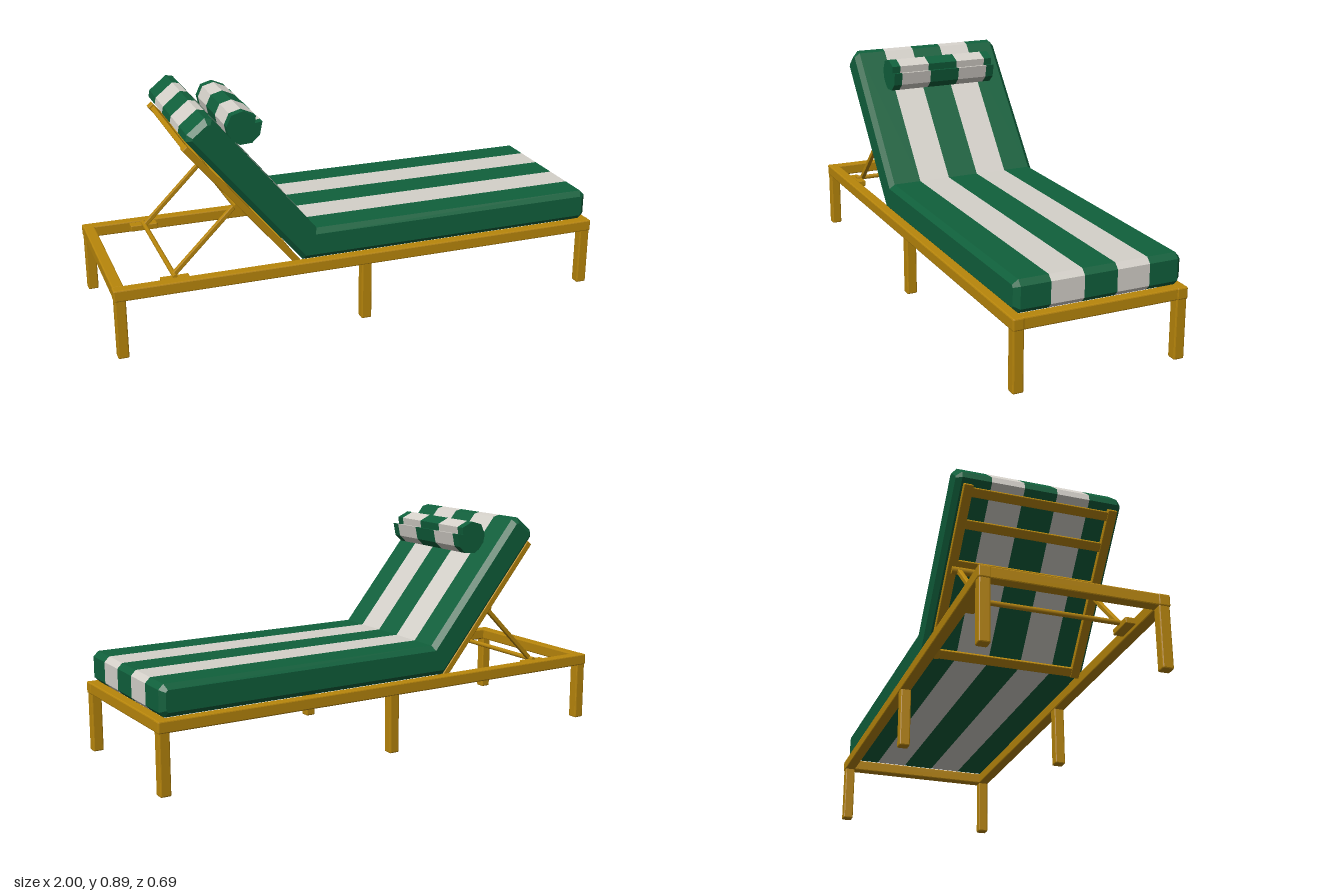
import * as THREE from 'three';
import { RoundedBoxGeometry } from 'three/addons/geometries/RoundedBoxGeometry.js';

const makeMaterial = (name, color) => {
  const m = new THREE.MeshStandardMaterial({ color });
  m.name = name;
  return m;
};

// Bar with softly chamfered edges and flat faces
function bar(name, w, h, d, x, y, z, material, bevel = 0.005) {
  const geometry = new RoundedBoxGeometry(w, h, d, 1, bevel);
  geometry.computeVertexNormals();
  const mesh = new THREE.Mesh(geometry, material);
  mesh.name = name;
  mesh.position.set(x, y, z);
  return mesh;
}

// Shrink a counter-clockwise outline by moving each edge inward
function inset(points, amount) {
  const n = points.length;
  return points.map((p, i) => {
    const a = points[(i + n - 1) % n], b = points[(i + 1) % n];
    const d1 = new THREE.Vector2(p[0] - a[0], p[1] - a[1]).normalize();
    const d2 = new THREE.Vector2(b[0] - p[0], b[1] - p[1]).normalize();
    const n1 = new THREE.Vector2(-d1.y, d1.x), n2 = new THREE.Vector2(-d2.y, d2.x);
    const k = amount / (1 + n1.dot(n2));
    return [p[0] + (n1.x + n2.x) * k, p[1] + (n1.y + n2.y) * k];
  });
}

// Loft an outline through sections {z, shrink}, capping either end if asked
function loft(points, sections, capBack, capFront) {
  const pos = [];
  const rings = sections.map(s => {
    const ring = s.shrink ? inset(points, s.shrink) : points;
    return ring.map(p => [p[0], p[1], s.z]);
  });
  for (let r = 0; r < rings.length - 1; r++) {
    const A = rings[r], B = rings[r + 1];
    for (let i = 0; i < points.length; i++) {
      const j = (i + 1) % points.length;
      pos.push(...A[i], ...A[j], ...B[j], ...A[i], ...B[j], ...B[i]);
    }
  }
  const cap = (ring, flip) => {
    const outline = ring.map(p => new THREE.Vector2(p[0], p[1]));
    for (const [a, b, c] of THREE.ShapeUtils.triangulateShape(outline, [])) {
      pos.push(...ring[a], ...ring[flip ? c : b], ...ring[flip ? b : c]);
    }
  };
  if (capBack) cap(rings[0], true);
  if (capFront) cap(rings[rings.length - 1], false);
  const geometry = new THREE.BufferGeometry();
  geometry.setAttribute('position', new THREE.Float32BufferAttribute(pos, 3));
  geometry.computeVertexNormals();
  return geometry;
}

// Five alternating stripes across the width
function striped(name, points, half, bevel, green, cream) {
  const group = new THREE.Group();
  group.name = name;
  const edges = [-half, -0.195, -0.065, 0.065, 0.195, half];
  for (let i = 0; i < 5; i++) {
    const sections = [{ z: edges[i] }, { z: edges[i + 1] }];
    if (bevel && i === 0) sections.splice(0, 1, { z: -half, shrink: bevel }, { z: -half + bevel });
    if (bevel && i === 4) sections.splice(1, 1, { z: half - bevel }, { z: half, shrink: bevel });
    const mesh = new THREE.Mesh(loft(points, sections, i === 0, i === 4), i % 2 ? cream : green);
    mesh.name = name + 'Stripe' + (i + 1);
    group.add(mesh);
  }
  return group;
}

export function createModel() {
  const wood = makeMaterial('golden wood', 0xb8860b);
  const green = makeMaterial('green fabric', 0x10603c);
  const cream = makeMaterial('pale fabric', 0xd5d1ca);
  const model = new THREE.Group();
  model.name = 'sunLounger';

  // Base frame, legs and the rests for the prop
  const frame = new THREE.Group();
  frame.name = 'frame';
  for (const s of [-1, 1]) {
    frame.add(bar('sideRail', 2, 0.046, 0.044, 0, 0.257, s * 0.325, wood));
    frame.add(bar('endRail', 0.044, 0.046, 0.62, s * 0.976, 0.257, 0, wood));
    frame.add(bar('propRest', 0.11, 0.025, 0.042, -0.755, 0.262, s * 0.286, wood, 0.003));
    for (const x of [-0.976, -0.002, 0.976]) {
      frame.add(bar('leg', 0.042, 0.24, 0.042, x, 0.12, s * 0.324, wood));
    }
  }
  model.add(frame);

  // Tilted backrest frame: local x runs up the slope, local y out to the sitter
  const back = new THREE.Group();
  back.name = 'backrestFrame';
  const start = new THREE.Vector2(-0.262, 0.275), end = new THREE.Vector2(-0.692, 0.79);
  const length = start.distanceTo(end);
  for (const s of [-1, 1]) {
    back.add(bar('backRail', length, 0.025, 0.036, length / 2, 0.0125, s * 0.287, wood, 0.003));
  }
  for (const t of [0.03, 0.55, 0.78, 0.96]) {
    back.add(bar('backSlat', 0.035, 0.02, 0.56, t * length, 0.0125, 0, wood, 0.003));
  }
  back.rotation.z = Math.atan2(end.y - start.y, end.x - start.x);
  back.position.set(start.x, start.y, 0);
  model.add(back);

  // Prop: two struts joined by rods at top and bottom
  const prop = new THREE.Group();
  prop.name = 'backrestProp';
  const foot = new THREE.Vector2(-0.755, 0.275), head = new THREE.Vector2(-0.505, 0.525);
  const slope = Math.atan2(head.y - foot.y, head.x - foot.x);
  for (const s of [-1, 1]) {
    const strut = bar('propStrut', foot.distanceTo(head), 0.018, 0.018,
      (foot.x + head.x) / 2, (foot.y + head.y) / 2, s * 0.26, wood, 0.003);
    strut.rotation.z = slope;
    prop.add(strut);
  }
  for (const [p, r] of [[foot, 0.01], [head, 0.015]]) {
    const rod = new THREE.Mesh(new THREE.CylinderGeometry(r, r, 0.58, 8), wood);
    rod.name = 'propRod';
    rod.rotation.x = Math.PI / 2;
    rod.position.set(p.x, p.y, 0);
    prop.add(rod);
  }
  model.add(prop);

  // Bent mattress
  model.add(striped('mattress', [
    [-0.258, 0.282], [0.96, 0.282], [0.98, 0.302], [0.98, 0.385], [0.96, 0.405],
    [-0.2, 0.405], [-0.597, 0.886], [-0.625, 0.892], [-0.694, 0.836], [-0.699, 0.81],
  ], 0.33, 0.02, green, cream));

  // Head bolster with a seam flap
  model.add(striped('headBolster', [
    [-0.412, 0.826], [-0.408, 0.855], [-0.457, 0.877], [-0.503, 0.864], [-0.523, 0.822],
    [-0.513, 0.773], [-0.472, 0.747], [-0.425, 0.75], [-0.394, 0.778], [-0.383, 0.83],
  ], 0.23, 0, green, cream));

  return model;
}
